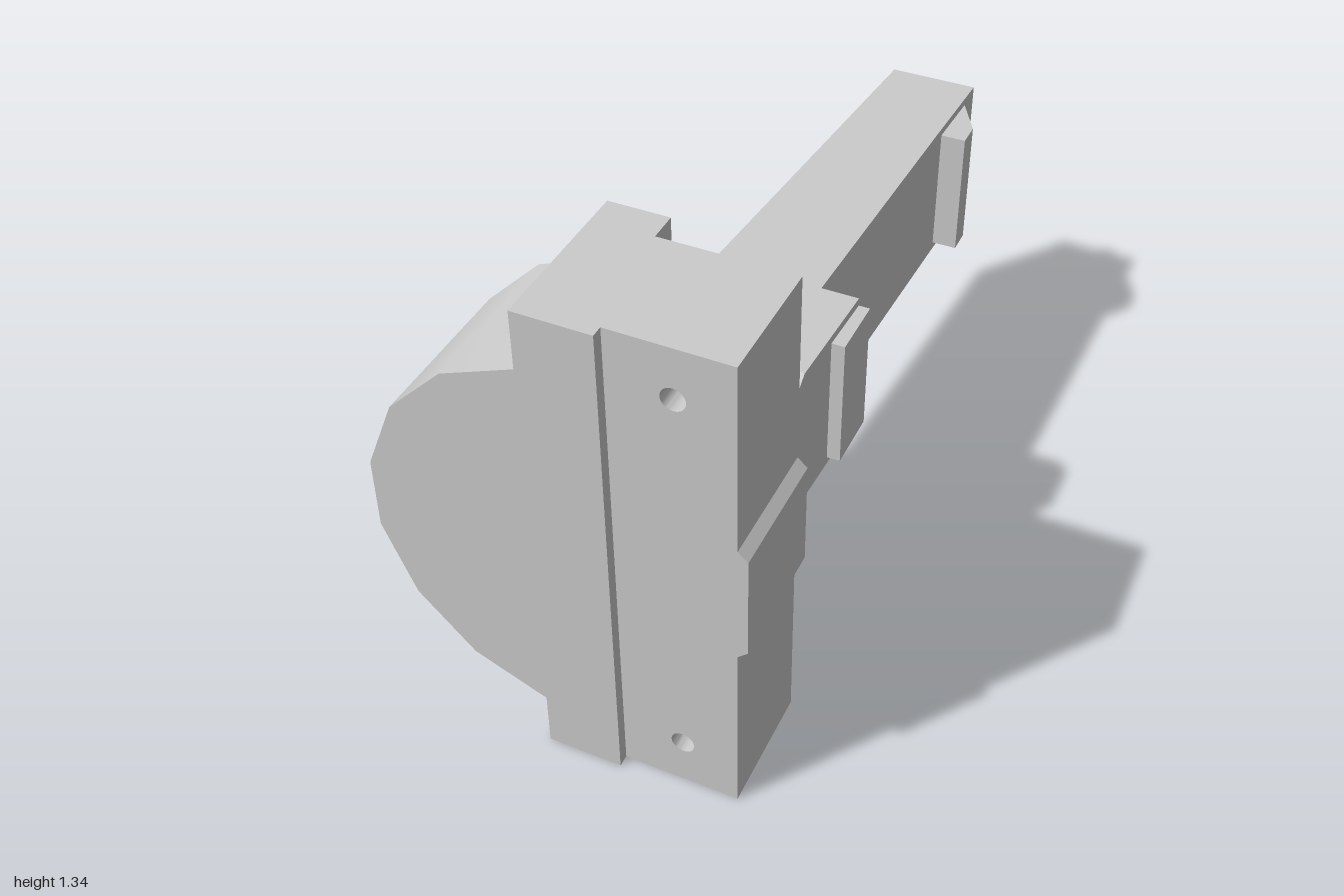
import * as THREE from 'three';
import { toCreasedNormals } from 'three/addons/utils/BufferGeometryUtils.js';
import { ConvexGeometry } from 'three/addons/geometries/ConvexGeometry.js';

const MID = 0.672; // height of the symmetry plane

export function createModel() {
  const model = new THREE.Group();
  const grey = new THREE.MeshStandardMaterial({ color: 0xcccccc });

  const add = (name, geometry) => {
    const mesh = new THREE.Mesh(geometry, grey);
    mesh.name = name;
    model.add(mesh);
    return mesh;
  };
  const outline = (pts) => new THREE.Shape(pts.map(([x, y]) => new THREE.Vector2(x, y)));

  // Front outline (x, y) extruded from z0 to z1
  const slab = (name, shape, z0, z1) => {
    const g = new THREE.ExtrudeGeometry(shape, { depth: z1 - z0, bevelEnabled: false, curveSegments: 12 });
    g.translate(0, 0, z0);
    return add(name, toCreasedNormals(g, 0.5));
  };
  // Plan outline (x, z) extruded upwards, centred on the symmetry plane
  const prism = (name, pts, halfHeight) => {
    const g = new THREE.ExtrudeGeometry(outline(pts.map(([x, z]) => [x, -z])), {
      depth: halfHeight * 2, bevelEnabled: false,
    });
    g.rotateX(-Math.PI / 2);
    g.translate(0, MID - halfHeight, 0);
    return add(name, g);
  };

  // Lock case: faceted half disc joined to the tall column
  const arc = [[-0.055, 0.518], [-0.245, 0.44], [-0.39, 0.293], [-0.469, 0.098]];
  const upper = arc.map(([x, d]) => [x, MID + d]);
  const lower = arc.map(([x, d]) => [x, MID - d]).reverse();
  slab('lockCase', outline([
    [0.1, 0], [0.1, 1.344], [-0.055, 1.344], ...upper, ...lower, [-0.055, 0],
  ]), 0.572, 1);
  slab('frontStep', outline([[0.1, 0], [0.14, 0], [0.14, 1.344], [0.1, 1.344]]), 0.648, 1);

  // Mounting flange with screw holes and a raised edge block
  const flange = outline([
    [0.14, 0], [0.44, 0], [0.44, 0.507], [0.465, 0.53],
    [0.465, 0.815], [0.44, 0.838], [0.44, 1.344], [0.14, 1.344],
  ]);
  for (const y of [0.135, 1.21]) {
    flange.holes.push(new THREE.Path().absarc(0.297, y, 0.03, 0, Math.PI * 2, true));
  }
  slab('mountingFlange', flange, 0.648, 0.97);

  // Handle neck, latch tongue and hinge pin
  prism('handleNeck', [
    [-0.29, 0.575], [-0.285, 0.33], [-0.19, 0.272], [0.36, 0.42],
    [0.36, 0.467], [0.2, 0.565], [0.1, 0.632], [0.1, 0.575],
  ], 0.176);
  prism('latchTongue', [[0.1, 0.655], [0.1, 0.62], [0.2, 0.565], [0.24, 0.655]], 0.145);
  const pin = add('hingePin', new THREE.CylinderGeometry(0.038, 0.038, 0.378, 20));
  pin.position.set(0.04, MID, 0.415);

  // Sloping collar between arm and neck
  const collar = [];
  for (const s of [-1, 1]) {
    for (const [x, z, h] of [[-0.19, 0.27, 0.207], [0.36, 0.42, 0.207], [-0.235, 0.3, 0.176], [0.36, 0.462, 0.176]]) {
      collar.push(new THREE.Vector3(x, MID + s * h, z));
    }
  }
  add('handleCollar', new ConvexGeometry(collar));

  // Tapered handle arm
  prism('handleArm', [
    [-0.19, 0.27], [-0.03, 0.18], [0.06, -0.97], [0.305, -0.97],
    [0.295, -0.7], [0.27, 0.1], [0.37, 0.1], [0.36, 0.42],
  ], 0.207);

  // Raised grips on the arm
  prism('rearGrip', [[0.36, 0.1], [0.4, 0.1], [0.4, 0.265], [0.36, 0.265]], 0.185);
  prism('tipGrip', [[0.29, -0.9], [0.303, -0.9], [0.365, -0.79], [0.365, -0.72], [0.29, -0.72]], 0.185);
  prism('tipRib', [[0.2, -0.965], [0.2, -1], [0.245, -1], [0.263, -0.97], [0.263, -0.965]], 0.185);

  // Eight-sided buttons on the outer face of the arm
  for (const [x, z, r] of [[-0.02, 0.105, 0.083], [0.015, -0.43, 0.102]]) {
    const g = new THREE.CylinderGeometry(r, r, 0.024, 8).toNonIndexed();
    g.rotateZ(Math.PI / 2);
    g.rotateX(Math.PI / 8);
    g.rotateY(-0.08 + 0.16);
    g.computeVertexNormals();
    const button = add('armButton', g);
    button.rotation.y = -0.16;
    button.position.set(x, MID, z);
  }
  return model;
}
